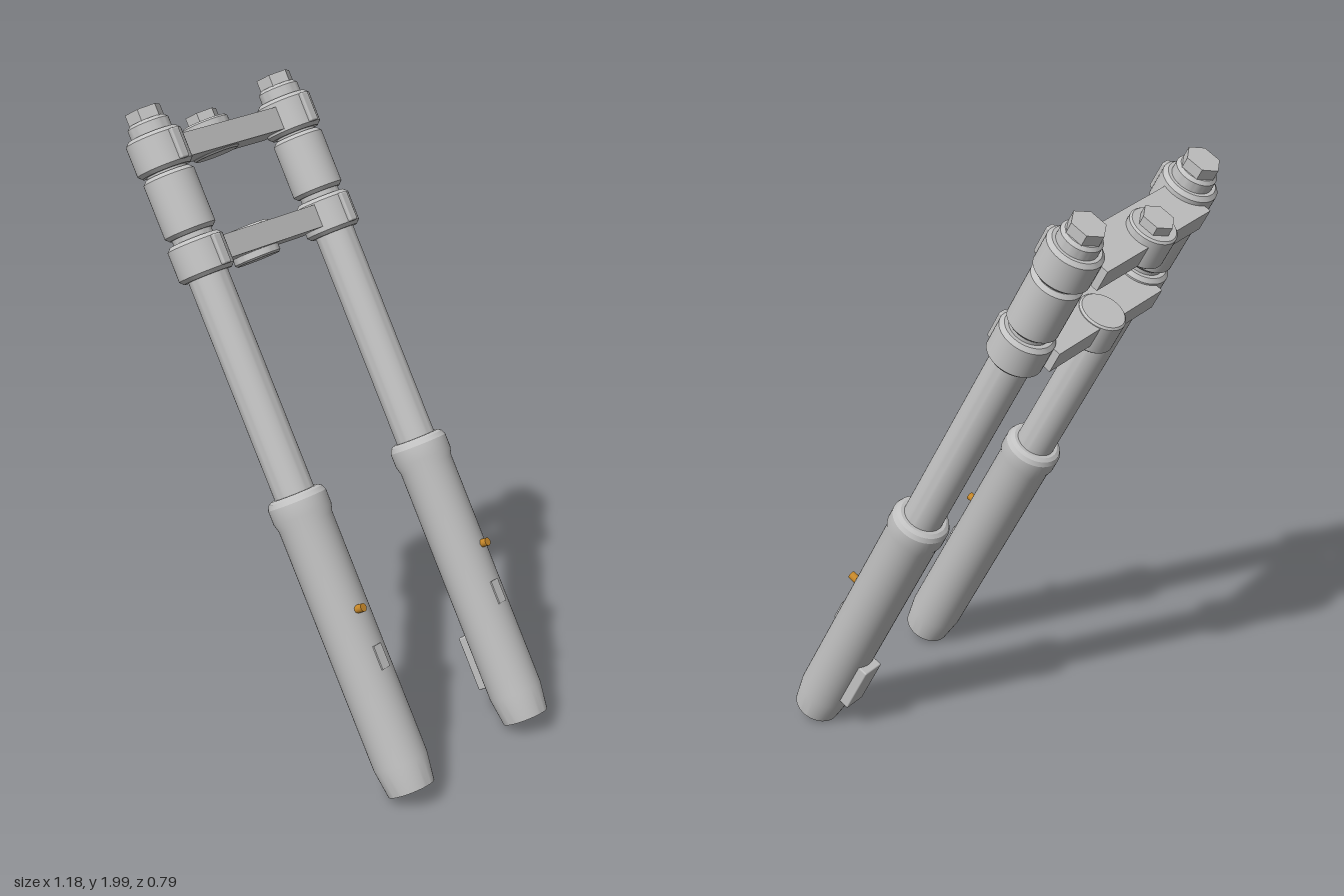
import * as THREE from 'three';
import { toCreasedNormals } from 'three/addons/utils/BufferGeometryUtils.js';
import { RoundedBoxGeometry } from 'three/addons/geometries/RoundedBoxGeometry.js';

const LEG_Z = 0.303;
const STEM_X = -0.067;

export function createModel() {
  const metal = new THREE.MeshStandardMaterial({ color: 0xc2c2c2 });
  metal.name = 'light grey metal';
  const brass = new THREE.MeshStandardMaterial({ color: 0xc8892a });
  brass.name = 'brass';

  // The whole fork is built upright, then raked
  const fork = new THREE.Group();
  fork.name = 'fork';
  fork.position.set(0.525, 0.043, 0);
  fork.rotation.z = THREE.MathUtils.degToRad(28);

  const add = (parent, name, geometry, x, y, z, material = metal) => {
    const mesh = new THREE.Mesh(geometry, material);
    mesh.name = name;
    mesh.position.set(x, y, z);
    parent.add(mesh);
    return mesh;
  };
  // Turned part from [radius, height] pairs, closed at both ends
  const turned = (profile) => {
    const pts = [[0, profile[0][1]], ...profile, [0, profile[profile.length - 1][1]]];
    const lathe = new THREE.LatheGeometry(pts.map(([r, y]) => new THREE.Vector2(r, y)), 48);
    return toCreasedNormals(lathe, 0.4);
  };
  const bevelled = (r, y0, y1, b) => turned([[r - b, y0], [r, y0 + b], [r, y1 - b], [r - b, y1]]);
  // Hexagon with corners fore and aft
  const hex = (r, h) => {
    const g = new THREE.CylinderGeometry(r, r, h, 6).rotateY(Math.PI / 6 + Math.PI / 3);
    return toCreasedNormals(g, 0.4);
  };

  for (const side of [1, -1]) {
    const leg = new THREE.Group();
    leg.name = side > 0 ? 'leftLeg' : 'rightLeg';
    leg.position.z = side * LEG_Z;
    fork.add(leg);

    add(leg, 'slider', turned([
      [0.074, 0], [0.086, 0.09], [0.086, 0.865], [0.093, 0.89],
      [0.093, 0.935], [0.086, 0.95], [0.074, 0.957],
    ]), 0, 0, 0);
    add(leg, 'stanchion', turned([[0.063, 0.9], [0.063, 2.1]]), 0, 0, 0);
    add(leg, 'upperSleeve', bevelled(0.081, 1.79, 1.985, 0.012), 0, 0, 0);
    add(leg, 'topCap', bevelled(0.065, 2.1, 2.152, 0.01), 0, 0, 0);
    add(leg, 'capHex', hex(0.057, 0.045), 0, 2.165, 0);

    // Clamp rings with a pinch rib at the front
    for (const [name, y0, y1] of [['lowerClamp', 1.656, 1.774], ['upperClamp', 1.992, 2.11]]) {
      add(leg, name, bevelled(0.088, y0, y1, 0.012), 0, 0, 0);
      add(leg, name + 'Rib', new RoundedBoxGeometry(0.045, 0.096, 0.034, 2, 0.006), 0.076, (y0 + y1) / 2, 0);
    }

    // Small fitting and raised pad on the front of the slider
    add(leg, 'bleedFitting', new THREE.CylinderGeometry(0.013, 0.013, 0.04, 16).rotateZ(Math.PI / 2),
      0.088, 0.57, side * 0.016, brass);
    add(leg, 'frontPad', new THREE.BoxGeometry(0.02, 0.075, 0.035), 0.079, 0.412, 0);

    // Rear mounting lug on one leg only
    if (side < 0) {
      add(leg, 'rearLug', new RoundedBoxGeometry(0.07, 0.18, 0.08, 2, 0.005), -0.075, 0.215, 0);
    }
  }

  // Bridges between the clamps, each with a steering stem boss
  for (const [name, mid, y0, y1] of [['lower', 1.72, 1.657, 1.765], ['upper', 2.048, 2.005, 2.113]]) {
    add(fork, name + 'Bridge', new THREE.BoxGeometry(0.141, 0.073, 0.55), -0.036, mid, 0);
    add(fork, name + 'StemBoss', bevelled(0.075, y0, y1, 0.006), STEM_X, 0, 0);
  }
  add(fork, 'stemNut', hex(0.052, 0.04), STEM_X, 2.122, 0);

  const model = new THREE.Group();
  model.name = 'frontFork';
  model.add(fork);
  return model;
}
